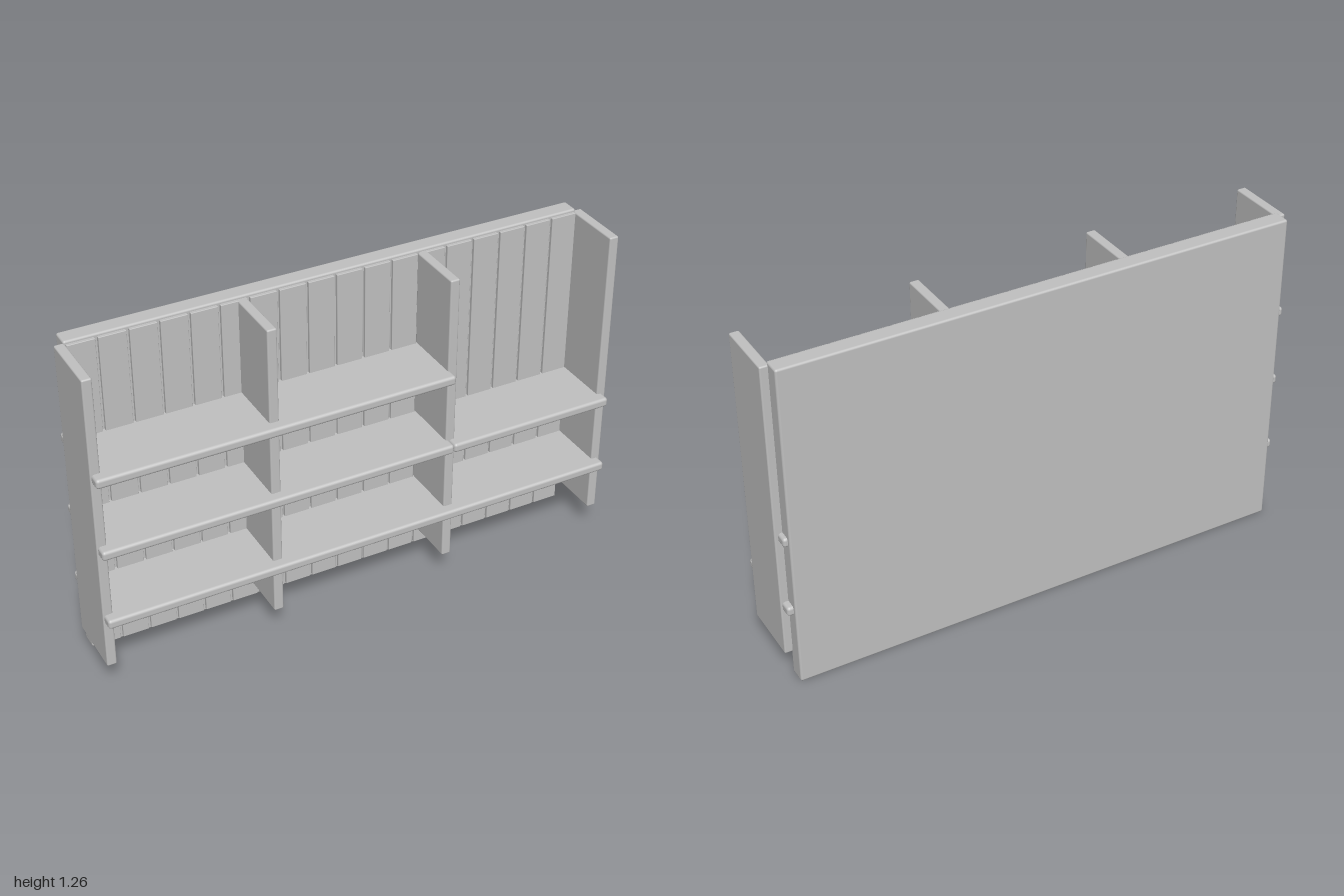
import * as THREE from 'three';
import { RoundedBoxGeometry } from 'three/addons/geometries/RoundedBoxGeometry.js';

export function createModel() {
  const group = new THREE.Group();
  const grey = new THREE.MeshStandardMaterial({ color: 0xc0c0c0 });
  grey.name = 'plain grey';

  // Rounded board spanning the given minimum and maximum on each axis
  function board(name, [x0, x1], [y0, y1], [z0, z1], radius) {
    const geometry = new RoundedBoxGeometry(x1 - x0, y1 - y0, z1 - z0, 3, radius);
    const mesh = new THREE.Mesh(geometry, grey);
    mesh.position.set((x0 + x1) / 2, (y0 + y1) / 2, (z0 + z1) / 2);
    mesh.name = name;
    group.add(mesh);
  }

  // Back panel
  board('backPanel', [-0.97, 0.97], [0, 1.26], [-0.167, -0.1], 0.008);

  // Vertical planks with narrow grooves between them
  const count = 18, pitch = 1.936 / count, gap = 0.01;
  for (let i = 0; i < count; i++) {
    const x = -0.968 + i * pitch;
    board('plank' + (i + 1), [x + gap / 2, x + pitch - gap / 2], [0.012, 1.25], [-0.11, -0.088], 0.002);
  }

  // Uprights
  [-0.981, -0.345, 0.34, 0.981].forEach((x, i) => {
    const outer = i === 0 || i === 3;
    board('upright' + (i + 1), [x - 0.018, x + 0.018], [0.096, 1.25], [outer ? -0.112 : -0.1, 0.128], 0.006);
  });

  // Shelves, with strongly rounded edges
  const shelves = [
    ['lowerShelf', -0.994, 0.992, 0.301],
    ['middleShelfLong', -0.994, 0.336, 0.588],
    ['middleShelfShort', 0.336, 0.986, 0.588],
    ['upperShelf', -0.994, 0.334, 0.876],
  ];
  for (const [name, x0, x1, y] of shelves) {
    board(name, [x0, x1], [y - 0.018, y + 0.018], [-0.153, 0.168], 0.011);
  }

  return group;
}
